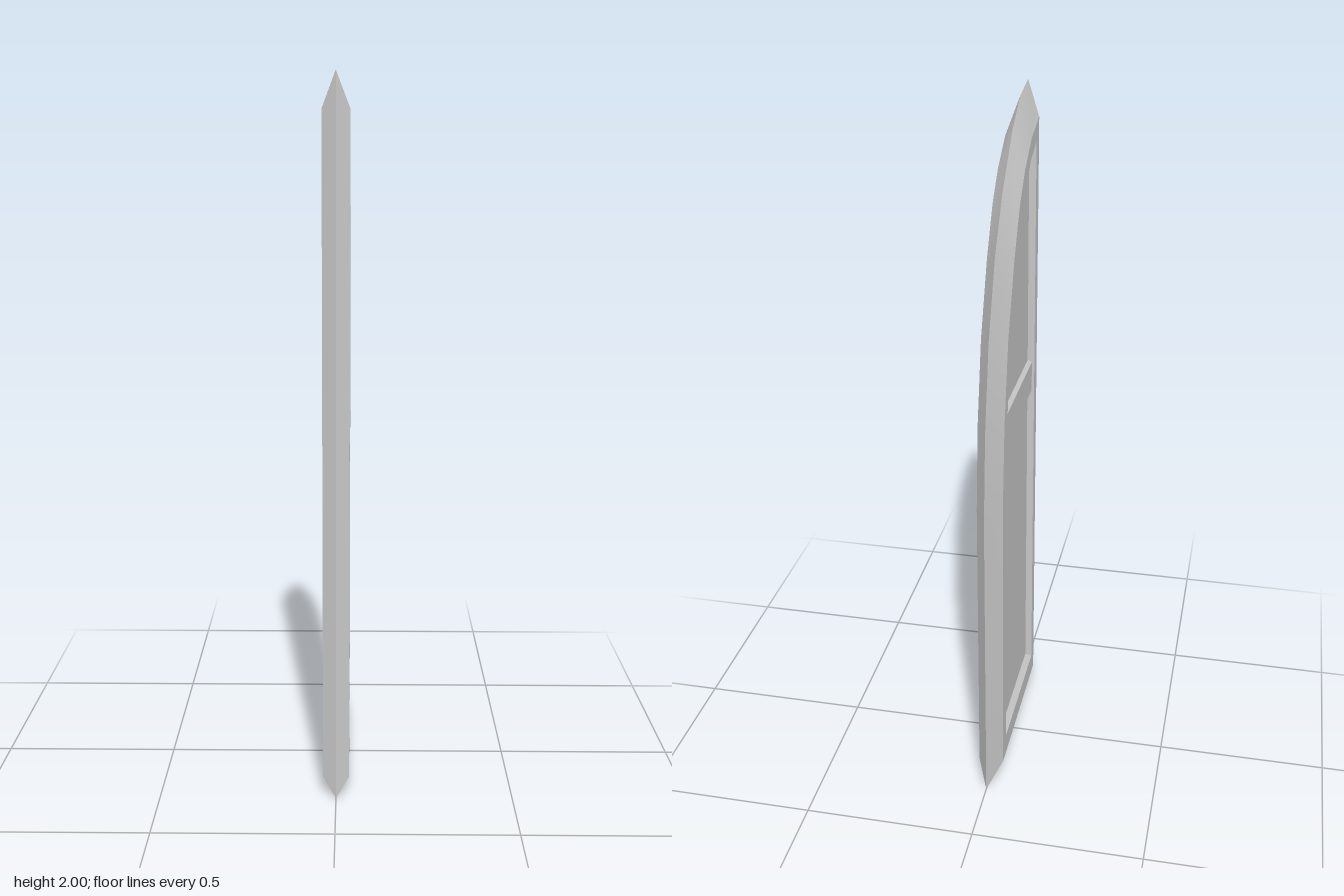
import * as THREE from 'three';
import { toCreasedNormals } from 'three/addons/utils/BufferGeometryUtils.js';

const material = new THREE.MeshStandardMaterial({ color: 0xcccccc });

// Closed outlines as [z, y]: up the front edge, over the arch, down the back edge
const outer = [[0.303, 0], [0.303, 2], [0.19, 1.98], [0.08, 1.91], [-0.05, 1.78], [-0.145, 1.64],
  [-0.23, 1.43], [-0.28, 1.19], [-0.303, 0.93], [-0.303, 0]];
const shoulder = [[0.275, 0.053], [0.275, 1.905], [0.168, 1.875], [0.07, 1.81], [0.0, 1.735], [-0.075, 1.605],
  [-0.155, 1.41], [-0.205, 1.18], [-0.228, 0.93], [-0.228, 0.053]];
const opening = [[0.238, 0.117], [0.238, 1.847], [0.155, 1.815], [0.095, 1.763], [0.03, 1.7], [-0.04, 1.59],
  [-0.115, 1.4], [-0.165, 1.19], [-0.185, 0.95], [-0.185, 0.117]];
const recess = [[0.22, 0.135], [0.22, 1.833], [0.147, 1.8], [0.085, 1.75], [0.022, 1.68], [-0.03, 1.577],
  [-0.1, 1.39], [-0.148, 1.19], [-0.17, 0.95], [-0.17, 0.135]];

const HALF = 0.037;   // half thickness at the frame face
const DEPTH = 0.02;   // half thickness at the sunken panel

// Strip of quads between two outlines, on the side +1 or -1
function band(a, xa, b, xb, side) {
  const positions = [];
  const point = (loop, x, i) => [side * x, loop[i][1], loop[i][0]];
  for (let i = 0; i < a.length; i++) {
    const j = (i + 1) % a.length;
    const quad = [point(a, xa, i), point(b, xb, i), point(b, xb, j), point(a, xa, j)];
    const order = side > 0 ? [0, 1, 2, 0, 2, 3] : [0, 2, 1, 0, 3, 2];
    order.forEach((k) => positions.push(...quad[k]));
  }
  const geometry = new THREE.BufferGeometry();
  geometry.setAttribute('position', new THREE.Float32BufferAttribute(positions, 3));
  return toCreasedNormals(geometry, Math.PI / 6);
}

// Flat sheet filling an outline, facing outward on the given side
function sheet(loop, x, side) {
  const shape = new THREE.Shape(loop.map(([z, y]) => new THREE.Vector2(-side * z, y)));
  return new THREE.ShapeGeometry(shape).rotateY(side * Math.PI / 2).translate(side * x, 0, 0);
}

export function createModel() {
  const model = new THREE.Group();
  model.name = 'archedShutter';
  const add = (name, geometry, parent) => {
    const mesh = new THREE.Mesh(geometry, material);
    mesh.name = name;
    parent.add(mesh);
  };

  for (const side of [1, -1]) {
    const face = new THREE.Group();
    face.name = side > 0 ? 'leftFace' : 'rightFace';
    add('outerBevel', band(outer, 0, shoulder, HALF, side), face);
    add('frameFace', band(shoulder, HALF, opening, HALF, side), face);
    add('innerBevel', band(opening, HALF, recess, DEPTH, side), face);
    add('panel', sheet(recess, DEPTH, side), face);
    model.add(face);
  }

  // Crossbar with chamfered upper and lower edges, its ends set into the frame
  const section = [[0.02, 1.08], [0.031, 1.095], [0.031, 1.187], [0.02, 1.197],
    [-0.02, 1.197], [-0.031, 1.187], [-0.031, 1.095], [-0.02, 1.08]];
  const bar = new THREE.ExtrudeGeometry(
    new THREE.Shape(section.map(([x, y]) => new THREE.Vector2(x, y))),
    { depth: 0.39, bevelEnabled: false });
  add('crossbar', bar.translate(0, 0, -0.16), model);

  return model;
}
